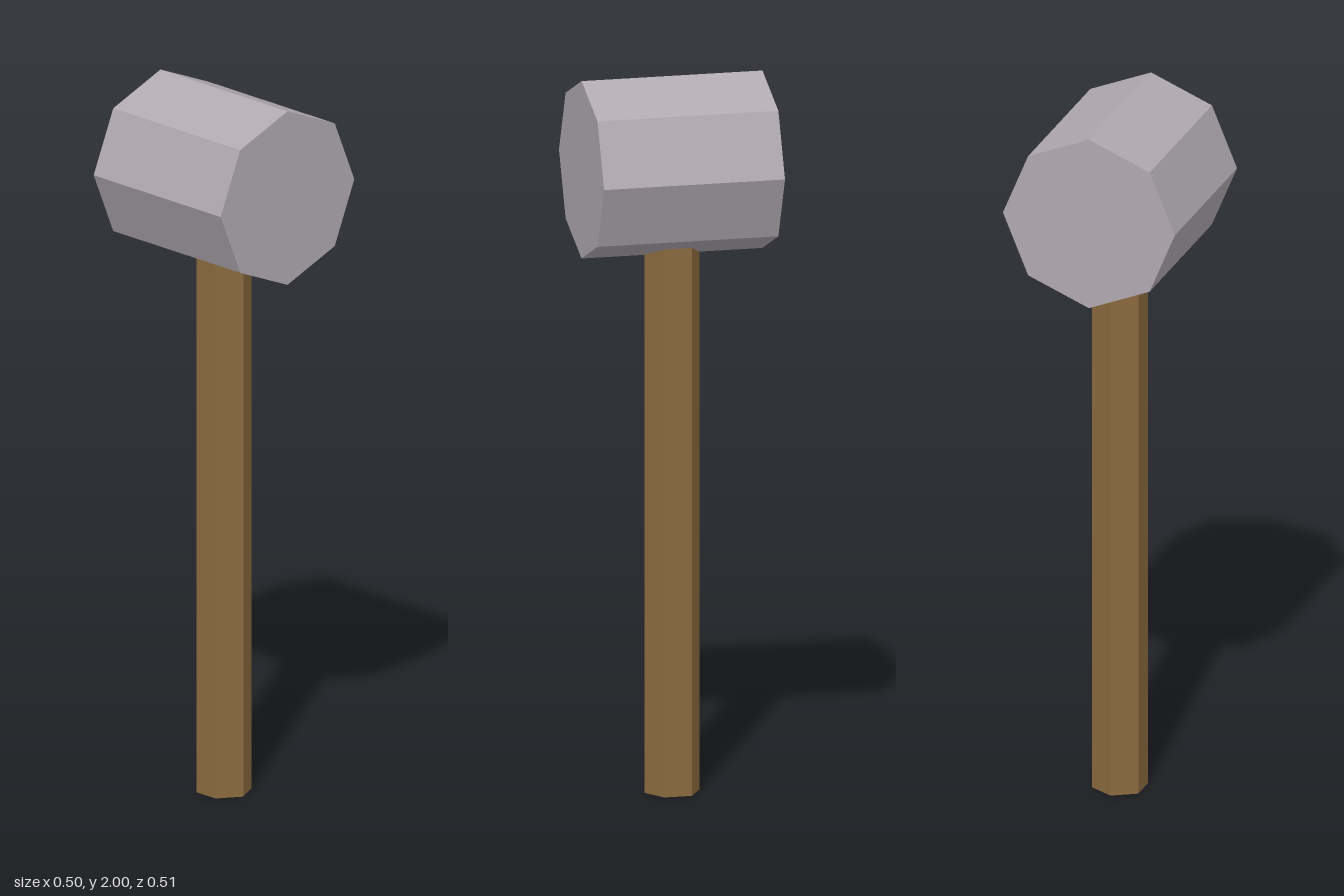
import * as THREE from 'three';

const HEAD_RADIUS = 0.248;
const HEAD_LENGTH = 0.508;
const HEAD_Y = 2 - HEAD_RADIUS;

// Low-poly prism with flat faces, its axis along y
function prism(name, radius, length, sides, color) {
  const mesh = new THREE.Mesh(
    new THREE.CylinderGeometry(radius, radius, length, sides),
    new THREE.MeshStandardMaterial({ color, flatShading: true })
  );
  mesh.name = name;
  return mesh;
}

export function createModel() {
  const mallet = new THREE.Group();
  mallet.name = 'mallet';

  // Octagonal head lying along z, one edge pointing straight up
  const head = prism('head', HEAD_RADIUS, HEAD_LENGTH, 8, 0xb0a9b0);
  head.rotation.x = Math.PI / 2;
  head.position.y = HEAD_Y;

  // Hexagonal wooden handle, its top sunk into the head
  const handleLength = 1.62;
  const handle = prism('handle', 0.077, handleLength, 6, 0x8b6a3f);
  handle.position.y = handleLength / 2;

  mallet.add(head, handle);
  return mallet;
}
